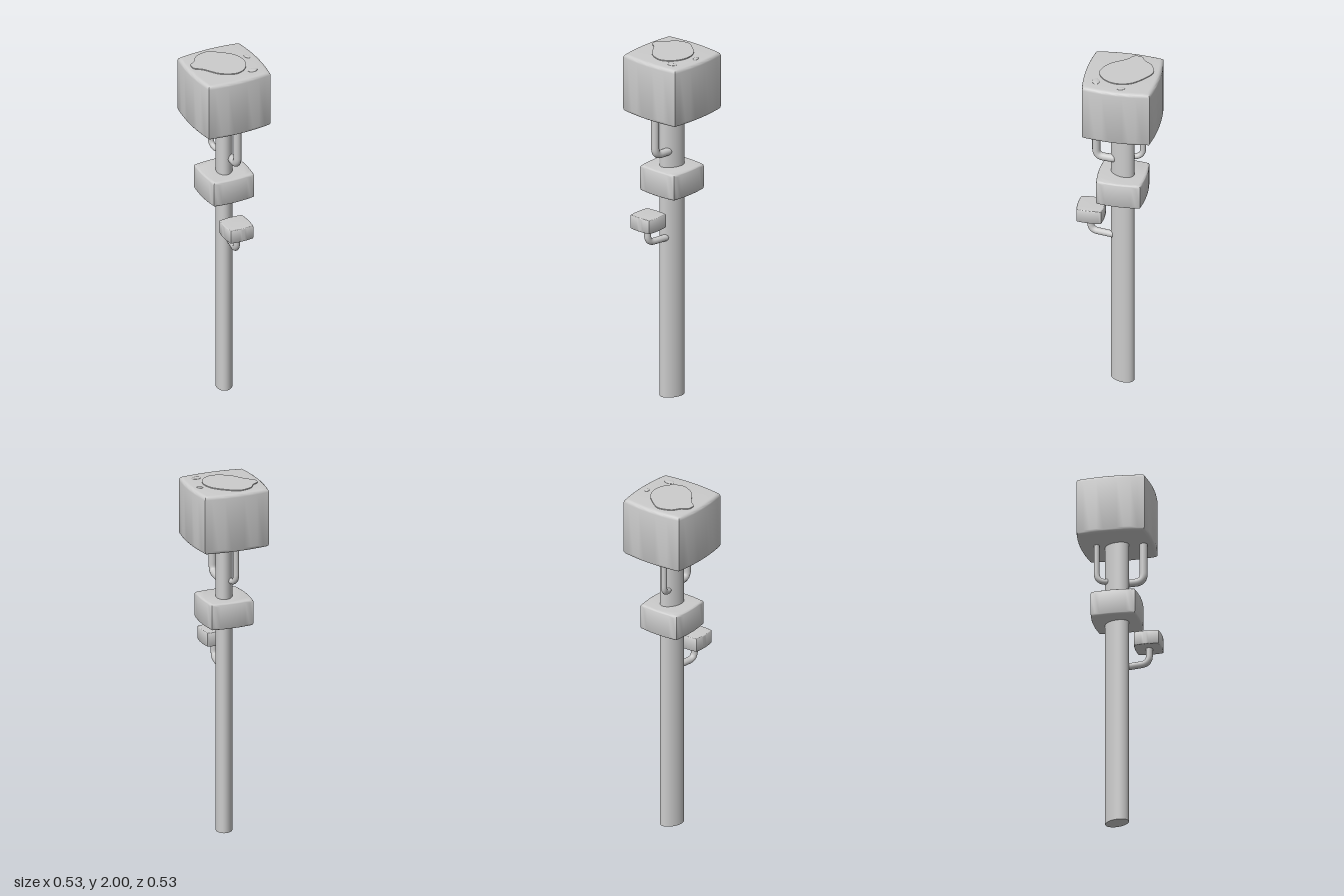
import * as THREE from 'three';
import { toCreasedNormals } from 'three/addons/utils/BufferGeometryUtils.js';

const material = new THREE.MeshStandardMaterial({ color: 0xcccccc });

export function createModel() {
  const model = new THREE.Group();
  const add = (name, geometry) => {
    const mesh = new THREE.Mesh(geometry, material);
    mesh.name = name;
    model.add(mesh);
    return mesh;
  };

  // Diamond-plan block with bulging sides and softened edges
  const block = (name, x, z, y0, y1, r, bevel) => {
    const c = r * 0.595;
    const shape = new THREE.Shape();
    shape.moveTo(r, 0);
    shape.quadraticCurveTo(c, c, 0, r);
    shape.quadraticCurveTo(-c, c, -r, 0);
    shape.quadraticCurveTo(-c, -c, 0, -r);
    shape.quadraticCurveTo(c, -c, r, 0);
    const geometry = new THREE.ExtrudeGeometry(shape, {
      depth: y1 - y0 - 2 * bevel, curveSegments: 10,
      bevelThickness: bevel, bevelSize: bevel, bevelOffset: -bevel, bevelSegments: 4,
    });
    geometry.rotateX(-Math.PI / 2).translate(x, y0 + bevel, z);
    add(name, toCreasedNormals(geometry, 0.7));
  };

  // Bracket dropping from a block and bending in to the pole
  const bracket = (name, top, yBend, end, radius, bend) => {
    const a = new THREE.Vector3(...top);
    const corner = new THREE.Vector3(top[0], yBend, top[2]);
    const b = new THREE.Vector3(end[0], yBend, end[1]);
    const inward = b.clone().sub(corner).normalize().multiplyScalar(bend).add(corner);
    const above = corner.clone().setY(yBend + bend);
    const path = new THREE.CurvePath();
    path.add(new THREE.LineCurve3(a, above));
    path.add(new THREE.QuadraticBezierCurve3(above, corner, inward));
    path.add(new THREE.LineCurve3(inward, b));
    add(name, new THREE.TubeGeometry(path, 40, radius, 14));
    add(name + 'End', new THREE.SphereGeometry(radius, 14, 10)).position.copy(b);
  };

  // Oval pole, turned slightly
  const pole = add('pole', new THREE.CylinderGeometry(1, 1, 1.7, 32));
  pole.scale.set(0.047, 1, 0.071);
  pole.rotation.y = 0.4;
  pole.position.y = 0.85;

  // Blocks
  block('topBlock', 0, 0, 1.66, 1.995, 0.266, 0.02);
  block('middleBlock', 0, 0, 1.195, 1.345, 0.173, 0.014);
  block('sideBlock', 0.115, 0.137, 1.02, 1.1, 0.097, 0.005);

  // Brackets
  bracket('leftBracket', [0.108, 1.68, 0.098], 1.438, [0.045, 0.025], 0.022, 0.045);
  bracket('rightBracket', [-0.095, 1.68, -0.057], 1.445, [-0.02, -0.01], 0.016, 0.05);
  bracket('sideBracket', [0.117, 1.04, 0.14], 0.934, [0.045, 0.038], 0.019, 0.045);

  // Shallow patch on the top face, listed as x and z
  const outline = [
    [-0.165, -0.05], [-0.13, -0.1], [-0.04, -0.118], [0.03, -0.113], [0.09, -0.075],
    [0.12, -0.02], [0.12, 0.04], [0.09, 0.085], [0.01, 0.11], [-0.085, 0.094],
    [-0.14, 0.098], [-0.17, 0.065], [-0.163, 0.025], [-0.172, -0.02],
  ].map(([x, z]) => new THREE.Vector2(x, -z));
  const patchShape = new THREE.Shape();
  patchShape.moveTo(outline[0].x, outline[0].y);
  patchShape.splineThru([...outline.slice(1), outline[0]]);
  const patch = new THREE.ExtrudeGeometry(patchShape, { depth: 0.006, bevelEnabled: false, curveSegments: 4 });
  patch.rotateX(-Math.PI / 2).translate(0, 1.994, 0);
  add('topPatch', toCreasedNormals(patch, 0.7));

  // Small shallow spots beside the patch
  for (const [x, z, a, b, turn] of [[0.092, -0.124, 0.022, 0.014, -0.4], [0.167, 0.01, 0.028, 0.02, 0.9]]) {
    const spot = add('topSpot', new THREE.SphereGeometry(1, 20, 12));
    spot.scale.set(a, 0.005, b);
    spot.rotation.y = turn;
    spot.position.set(x, 1.995, z);
  }
  return model;
}
